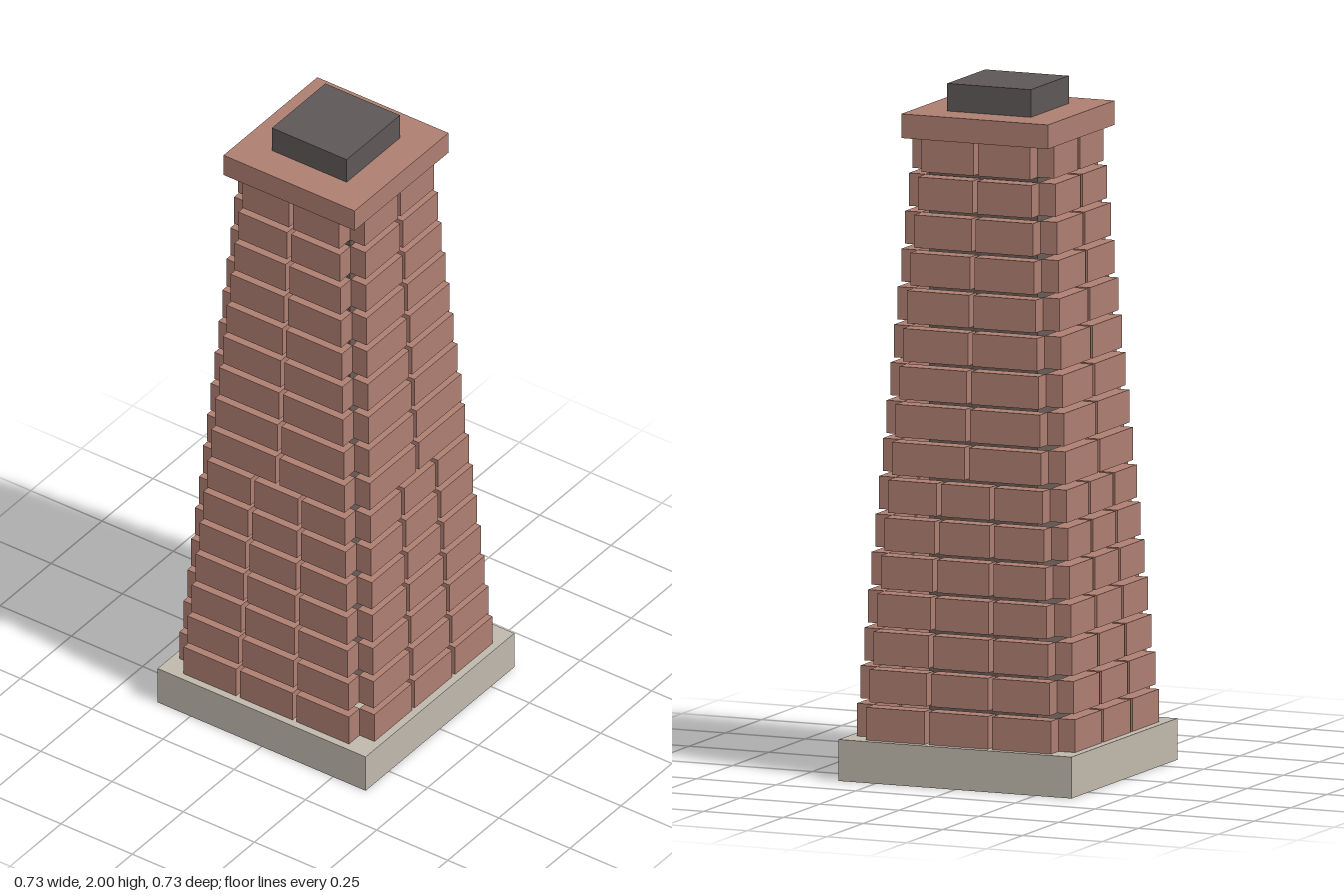
import * as THREE from 'three';

const stone = new THREE.MeshStandardMaterial({ name: 'pale stone', color: 0xbfb8ac });
const brick = new THREE.MeshStandardMaterial({ name: 'red brick', color: 0xae7e71 });
const mortar = new THREE.MeshStandardMaterial({ name: 'dark mortar', color: 0x6a5c57 });
const soot = new THREE.MeshStandardMaterial({ name: 'soot grey', color: 0x5d5857 });

// Box given by width, bottom, top and depth
function block(name, material, width, bottom, top, depth = width) {
  const mesh = new THREE.Mesh(new THREE.BoxGeometry(width, top - bottom, depth), material);
  mesh.name = name;
  mesh.position.y = (bottom + top) / 2;
  return mesh;
}

export function createModel() {
  const model = new THREE.Group();
  model.name = 'brickChimney';

  model.add(block('base', stone, 0.73, 0, 0.12));
  model.add(block('core', mortar, 0.34, 0.12, 1.78));
  model.add(block('cap', brick, 0.46, 1.85, 1.92));
  model.add(block('flue', soot, 0.262, 1.92, 2));

  // Tapering courses: three bricks per side below, two above
  const rows = 16, pitch = 0.109, height = 0.095, thickness = 0.052, gap = 0.014;
  for (let i = 0; i < rows; i++) {
    const course = new THREE.Group();
    course.name = 'course' + (i + 1);
    const outer = 0.342 - 0.008 * i;
    const half = outer - thickness;
    const count = i < 7 ? 3 : 2;
    const width = (2 * half - gap * (count - 1)) / count;
    const bottom = 0.12 + pitch * i;
    for (let s = 0; s < 4; s++) {
      const side = new THREE.Group();
      side.name = 'courseSide';
      side.rotation.y = s * Math.PI / 2;
      for (let j = 0; j < count; j++) {
        const b = block('brick', brick, width, bottom, bottom + height, thickness);
        b.position.x = -half + width / 2 + j * (width + gap);
        b.position.z = outer - thickness / 2;
        side.add(b);
      }
      course.add(side);
    }
    model.add(course);
  }
  return model;
}
